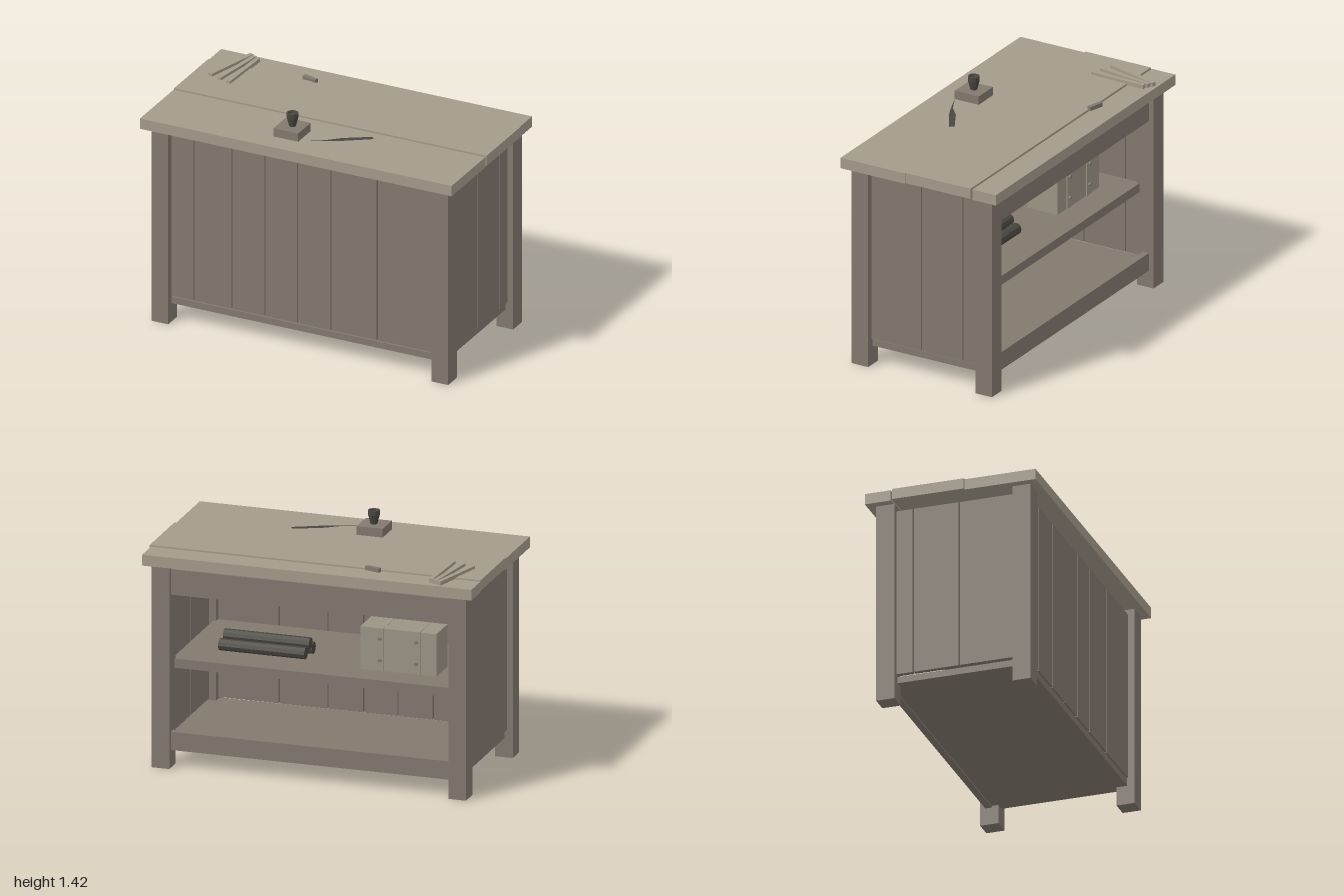
import * as THREE from 'three';

const mat = (name, color) => Object.assign(new THREE.MeshStandardMaterial({ color, flatShading: true }), { name });

export function createModel() {
  const root = new THREE.Group();
  root.name = 'workCounter';
  const topWood = mat('paleTopWood', 0xa39a8a);
  const wood = mat('greyBrownWood', 0x82786e);
  const pale = mat('paleChestWood', 0x9a9484);
  const dark = mat('darkMaterial', 0x4a4741);
  const feather = mat('featherDark', 0x4a4741);
  feather.side = THREE.DoubleSide;

  const add = (geo, material, name) => {
    const m = new THREE.Mesh(geo, material);
    m.name = name;
    root.add(m);
    return m;
  };
  // Box given by its minimum and maximum on each axis
  const box = (name, material, x0, x1, y0, y1, z0, z1) => {
    const m = add(new THREE.BoxGeometry(x1 - x0, y1 - y0, z1 - z0), material, name);
    m.position.set((x0 + x1) / 2, (y0 + y1) / 2, (z0 + z1) / 2);
    return m;
  };
  // Flat bar lying between two points in the xz plane
  const bar = (name, material, [ax, az], [bx, bz], width, y0, y1) => {
    const m = add(new THREE.BoxGeometry(Math.hypot(bx - ax, bz - az), y1 - y0, width), material, name);
    m.position.set((ax + bx) / 2, (y0 + y1) / 2, (az + bz) / 2);
    m.rotation.y = -Math.atan2(bz - az, bx - ax);
  };

  // Table top planks
  box('topPlankFront', topWood, -1, 0.995, 1.225, 1.29, 0.088, 0.517);
  box('topPlankMiddle', topWood, -1, 1, 1.233, 1.297, -0.353, 0.082);
  box('topPlankBack', topWood, -1, 0.99, 1.225, 1.29, -0.517, -0.36);

  // Legs
  for (const s of [-1, 1]) {
    const x0 = s < 0 ? -0.95 : 0.843, x1 = x0 + 0.107;
    box('frontLeg', wood, x0, x1, 0, 1.226, 0.36, 0.47);
    box('backLeg', wood, x0, x1, 0, 1.226, -0.466, -0.355);
  }

  // Front boards with narrow gaps
  const frontGaps = [-0.85, -0.697, -0.455, -0.243, -0.035, 0.18, 0.475, 0.85];
  for (let i = 0; i < frontGaps.length - 1; i++)
    box('frontBoard', wood, frontGaps[i] + 0.004, frontGaps[i + 1] - 0.004, 0.165, 1.193, 0.4, 0.43);

  // Side boards
  const sideGaps = [-0.365, -0.253, 0.025, 0.37];
  for (const s of [-1, 1])
    for (let i = 0; i < 3; i++) {
      const m = box('sideBoard', wood, 0.885, 0.915, 0.165, 1.193, sideGaps[i] + 0.004, sideGaps[i + 1] - 0.004);
      m.position.x *= s;
    }

  // Shelves and back rails
  box('bottomShelf', wood, -0.9, 0.9, 0.115, 0.155, -0.4, 0.425);
  box('middleShelf', wood, -0.86, 0.86, 0.58, 0.635, -0.37, 0.395);
  box('backBottomRail', wood, -0.85, 0.85, 0.105, 0.215, -0.435, -0.395);
  box('backTopRail', wood, -0.85, 0.85, 1.04, 1.193, -0.435, -0.395);

  // Rolled scrolls on the shelf
  for (const [x, y, z] of [[0.39, 0.67, -0.135], [0.38, 0.67, -0.025], [0.38, 0.713, -0.08]]) {
    const m = add(new THREE.CylinderGeometry(0.035, 0.035, 0.52, 10), dark, 'scroll');
    m.rotation.z = Math.PI / 2;
    m.position.set(x, y, z);
  }

  // Small chest with straps and studs
  box('chest', pale, -0.68, -0.22, 0.635, 0.89, -0.2, 0);
  for (const x of [-0.56, -0.34]) {
    box('chestStrap', pale, x - 0.023, x + 0.023, 0.636, 0.892, -0.207, 0.007);
    for (const y of [0.7, 0.83]) {
      const m = add(new THREE.CylinderGeometry(0.01, 0.012, 0.012, 8), wood, 'chestStud');
      m.rotation.x = -Math.PI / 2;
      m.position.set(x, y, -0.212);
    }
  }

  // Ink stand and pot
  box('inkStand', wood, -0.21, -0.053, 1.288, 1.342, 0.226, 0.386);
  const pot = [[0, 0], [0.02, 0], [0.025, 0.02], [0.034, 0.055], [0.034, 0.083], [0.025, 0.083], [0.022, 0.07], [0, 0.07]];
  const p = add(new THREE.LatheGeometry(pot.map(([r, y]) => new THREE.Vector2(r, y)), 10), dark, 'inkPot');
  p.position.set(-0.13, 1.341, 0.305);

  // Quill as a thin flat outline, slightly raised at the feather end
  const outline = [[-0.042, 0.378], [0.08, 0.318], [0.16, 0.25], [0.32, 0.163],
    [0.318, 0.178], [0.336, 0.19], [0.17, 0.29], [0.085, 0.328]];
  const quill = new THREE.ShapeGeometry(new THREE.Shape(outline.map(([x, z]) => new THREE.Vector2(x, -z))));
  quill.rotateX(-Math.PI / 2);
  const q = quill.attributes.position;
  for (let i = 0; i < q.count; i++) q.setY(i, 1.297 + 0.03 * Math.max(0, q.getX(i)));
  quill.computeVertexNormals();
  add(quill, feather, 'quill');

  // Loose sticks on the top
  for (const [a, b] of [[[-0.795, -0.497], [-0.888, -0.157]], [[-0.768, -0.481], [-0.82, -0.133]], [[-0.738, -0.466], [-0.752, -0.112]]])
    bar('stick', topWood, a, b, 0.026, 1.289, 1.314);
  bar('woodChip', wood, [-0.4, -0.38], [-0.31, -0.355], 0.025, 1.289, 1.314);

  return root;
}
